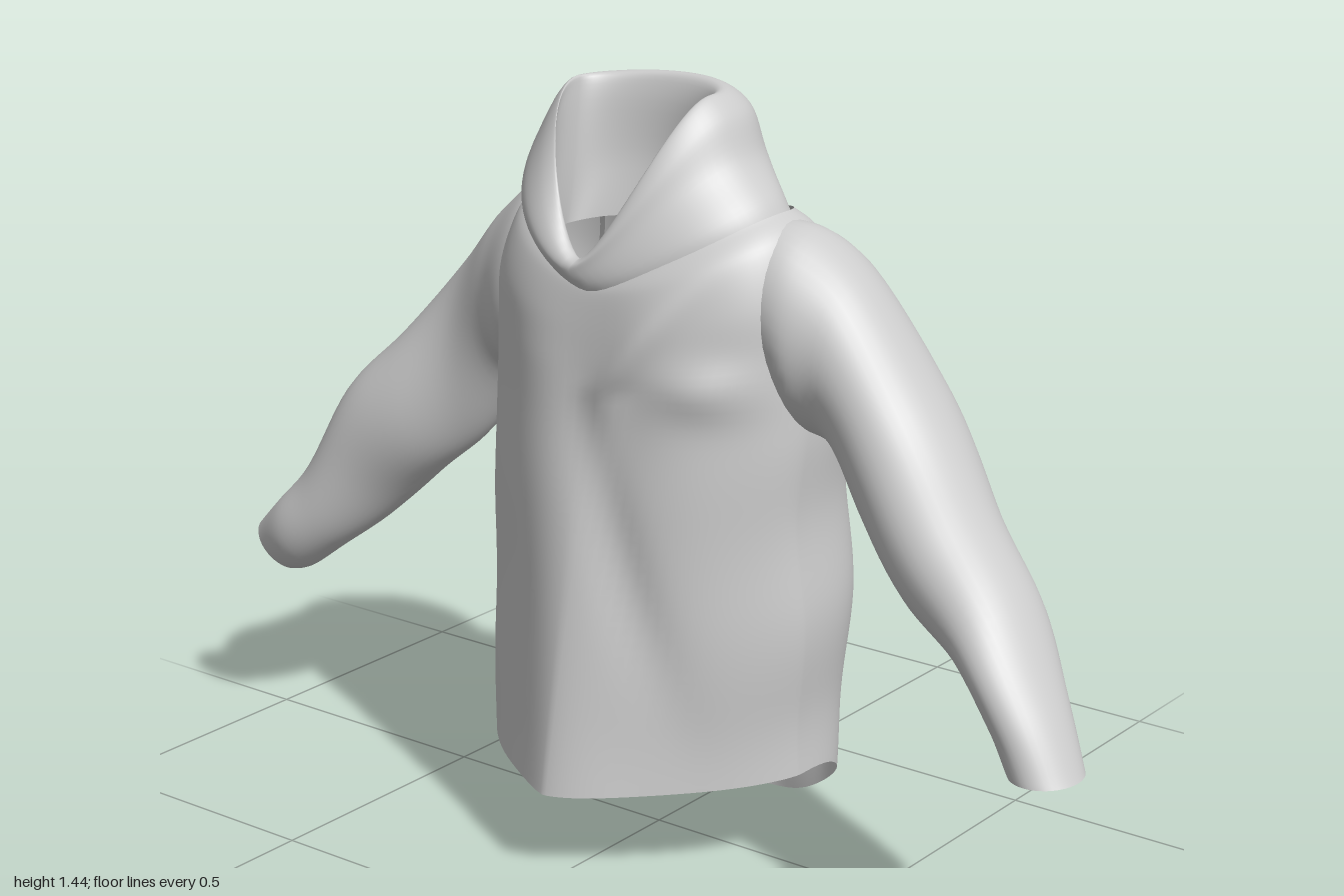
import * as THREE from 'three';

const material = new THREE.MeshStandardMaterial({ color: 0xcccccc, side: THREE.DoubleSide, roughness: 0.8 });

// Smooth interpolation through rows of section parameters
function sampleRows(rows, t) {
  const f = t * (rows.length - 1);
  const i = Math.min(Math.floor(f), rows.length - 2);
  const u = f - i;
  const a = rows[Math.max(i - 1, 0)], b = rows[i], c = rows[i + 1], d = rows[Math.min(i + 2, rows.length - 1)];
  return b.map((p1, k) => {
    const m1 = (c[k] - a[k]) / 2, m2 = (d[k] - p1) / 2;
    const u2 = u * u, u3 = u2 * u;
    return (2 * u3 - 3 * u2 + 1) * p1 + (u3 - 2 * u2 + u) * m1 + (3 * u2 - 2 * u3) * c[k] + (u3 - u2) * m2;
  });
}

// Open tube of cross-sections, closed around each ring
function loft(name, rows, steps, around, point, flip = false) {
  const pos = [], index = [];
  for (let j = 0; j <= steps; j++) {
    const row = sampleRows(rows, j / steps);
    for (let i = 0; i < around; i++) pos.push(...point(row, (i / around) * Math.PI * 2, j / steps));
  }
  for (let j = 0; j < steps; j++) {
    for (let i = 0; i < around; i++) {
      const n = (i + 1) % around;
      const a = j * around + i, b = j * around + n, c = a + around, d = b + around;
      if (flip) index.push(a, b, c, b, d, c);
      else index.push(a, c, b, b, c, d);
    }
  }
  const geometry = new THREE.BufferGeometry();
  geometry.setAttribute('position', new THREE.Float32BufferAttribute(pos, 3));
  geometry.setIndex(index);
  geometry.computeVertexNormals();
  const mesh = new THREE.Mesh(geometry, material);
  mesh.name = name;
  return mesh;
}

const bell = (d, w) => Math.exp(-(d * d) / (w * w));
const spow = (v, p) => Math.sign(v) * Math.pow(Math.abs(v), p);

// Ring with separate front and back roundness and height
function ring([x0, x1, zc, zf, zb, nF, nB, yF, yS, yB], a) {
  const c = Math.cos(a), s = Math.sin(a), front = s >= 0;
  const n = front ? nF : nB;
  const k = Math.pow(Math.abs(s), 2 / n);
  return [
    (x0 + x1) / 2 + ((x1 - x0) / 2) * spow(c, 2 / n),
    front ? yF + (yS - yF) * Math.pow(Math.abs(c), 1.5) : yB + (yS - yB) * c * c,
    zc + (front ? zf - zc : zb - zc) * k,
  ];
}

// right x, left x, side z, front z, back z, front power, back power, front y, side y, back y
const bodyRows = [
  [-0.37, 0.33, 0, 0.325, -0.26, 1.4, 3, 0.17, 0.19, 0.005],
  [-0.37, 0.33, 0, 0.3, -0.285, 1.45, 3, 0.3, 0.3, 0.2],
  [-0.37, 0.335, 0, 0.265, -0.32, 1.55, 3, 0.5, 0.5, 0.47],
  [-0.36, 0.32, 0, 0.23, -0.32, 1.75, 2.8, 0.7, 0.7, 0.7],
  [-0.365, 0.32, -0.02, 0.2, -0.31, 2, 2.8, 0.85, 0.85, 0.85],
  [-0.36, 0.32, -0.04, 0.185, -0.285, 2.2, 2.7, 0.97, 1, 1],
  [-0.355, 0.31, -0.05, 0.175, -0.25, 2.3, 2.6, 1.04, 1.1, 1.1],
  [-0.325, 0.28, -0.06, 0.165, -0.22, 2.2, 2.5, 1.09, 1.195, 1.17],
  [-0.285, 0.235, -0.06, 0.155, -0.195, 2, 2.2, 1.11, 1.235, 1.205],
];

const collarRows = [
  [-0.29, 0.24, -0.05, 0.15, -0.195, 2, 2.2, 1.07, 1.215, 1.19],
  [-0.305, 0.215, -0.05, 0.168, -0.215, 2, 2, 1.1, 1.255, 1.25],
  [-0.295, 0.155, -0.05, 0.172, -0.25, 2, 2, 1.125, 1.32, 1.33],
  [-0.255, 0.125, -0.05, 0.165, -0.22, 2, 2, 1.14, 1.395, 1.4],
  [-0.22, 0.09, -0.05, 0.15, -0.15, 2, 2, 1.145, 1.43, 1.44],
  [-0.215, 0.075, -0.04, 0.14, -0.12, 2, 2, 1.13, 1.4, 1.4],
  [-0.215, 0.07, -0.02, 0.14, -0.1, 2, 2, 1.1, 1.27, 1.28],
  [-0.215, 0.06, 0, 0.14, -0.06, 1.7, 2, 1.07, 1.16, 1.18],
];

// Soft folds and chest pocket on the body
function bodyPoint(row, a) {
  const [x, y, z] = ring(row, a);
  const s = Math.sin(a), fade = Math.min(1, Math.max(0, (1.2 - y) * 4));
  let d = 0;
  if (s > 0) {
    d += 0.024 * bell(x - 0.02 - 0.7 * Math.max(0, y - 0.92), 0.04) * bell(y - 1.04, 0.17);
    d -= 0.015 * bell(x - 0.08 - 0.35 * (0.6 - y), 0.05) * bell(y - 0.6, 0.25);
    d += 0.02 * bell(x - 0.22, 0.075) * bell(y - 0.94, 0.05);
    d += 0.005 * Math.sin(x * 22 + y * 5) * s;
  } else {
    d -= 0.006 * Math.sin(x * 24 + 3 * Math.sin(y * 4)) * -s;
    d += 0.012 * bell(Math.abs(x + 0.02) - 0.2 - 0.08 * (1 - y), 0.04) * bell(y - 0.95, 0.25);
  }
  const side = 0.004 * Math.sin(y * 17 + a) * Math.cos(a) * Math.cos(a);
  return [x + side * Math.sign(Math.cos(a)) * fade, y, z + d * fade];
}

// Gentle rolls in the collar
function collarPoint(row, a, t) {
  const [x, y, z] = ring(row, a);
  const roll = 0.006 * Math.sin(a * 3 + t * 8) * Math.sin(Math.PI * t);
  return [x + roll * Math.cos(a), y, z + roll * Math.sin(a)];
}

// Sleeve sections: upper x, upper y, lower x, lower y, back z, front z
const leftRows = [
  [0.2, 1.225, 0.27, 0.92, -0.17, 0.06],
  [0.3, 1.21, 0.32, 0.85, -0.205, 0.075],
  [0.4, 1.14, 0.38, 0.81, -0.215, 0.06],
  [0.55, 0.955, 0.47, 0.71, -0.2, 0.085],
  [0.7, 0.79, 0.6, 0.595, -0.13, 0.145],
  [0.83, 0.66, 0.74, 0.55, -0.05, 0.19],
  [0.93, 0.52, 0.82, 0.47, 0.02, 0.21],
  [0.995, 0.405, 0.87, 0.405, 0.07, 0.22],
];
const rightRows = [
  [-0.24, 1.225, -0.31, 0.92, -0.18, 0.05],
  [-0.33, 1.225, -0.37, 0.84, -0.23, 0.05],
  [-0.42, 1.165, -0.43, 0.81, -0.24, 0.015],
  [-0.52, 1.04, -0.51, 0.68, -0.215, 0.01],
  [-0.66, 0.885, -0.6, 0.58, -0.18, 0.05],
  [-0.77, 0.755, -0.7, 0.49, -0.13, 0.08],
  [-0.86, 0.585, -0.79, 0.41, -0.07, 0.1],
  [-0.93, 0.495, -0.86, 0.355, -0.03, 0.11],
  [-1.0, 0.425, -0.91, 0.335, -0.015, 0.09],
];

function sleevePoint([tx, ty, bx, by, z0, z1], a, t) {
  const crease = 1 + 0.035 * Math.sin(a * 2 + t * 21) * Math.sin(Math.PI * t);
  const c = Math.cos(a) * crease, s = Math.sin(a) * crease;
  return [
    (tx + bx) / 2 + ((tx - bx) / 2) * c,
    (ty + by) / 2 + ((ty - by) / 2) * c,
    (z0 + z1) / 2 + ((z1 - z0) / 2) * s,
  ];
}

export function createModel() {
  const group = new THREE.Group();
  group.name = 'jacket';
  group.add(
    loft('body', bodyRows, 64, 96, bodyPoint),
    loft('collar', collarRows, 42, 80, collarPoint),
    loft('leftSleeve', leftRows, 48, 40, sleevePoint, true),
    loft('rightSleeve', rightRows, 48, 40, sleevePoint),
  );
  return group;
}
